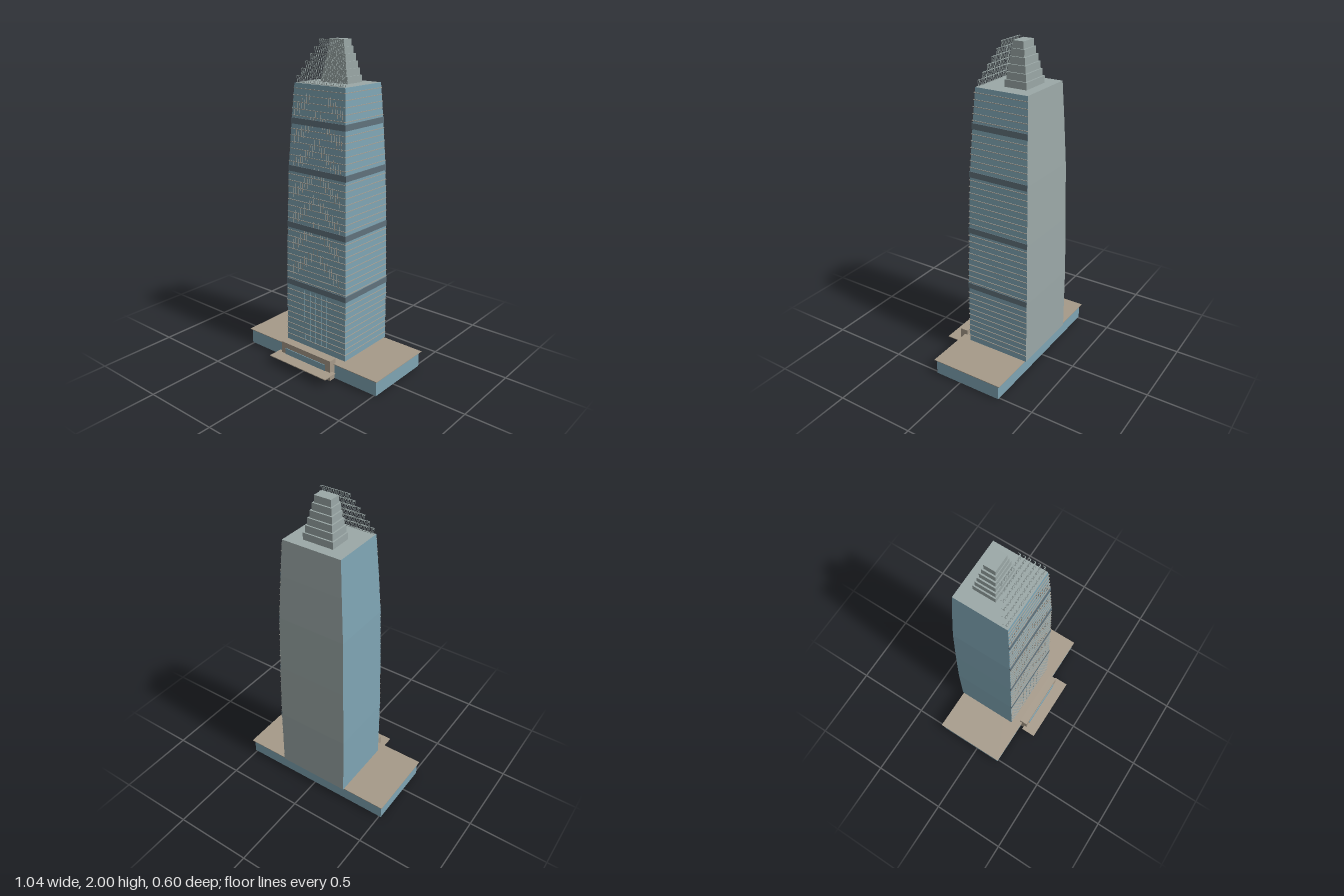
import * as THREE from 'three';

const mat = (name, hex) => {
  const m = new THREE.MeshStandardMaterial({ color: hex });
  m.name = name;
  return m;
};

export function createModel() {
  const glass = mat('blue glass', 0x7ea4b3);
  const stone = mat('tan stone', 0xa69a89);
  const metal = mat('grey metal', 0x9ba8a7);
  const trim = mat('warm grey trim', 0xa19f96);
  const louvre = mat('dark louvre', 0x60727c);

  const model = new THREE.Group();
  model.name = 'skyscraper';
  const group = (name) => {
    const g = new THREE.Group();
    g.name = name;
    model.add(g);
    return g;
  };
  // box from its min and max limits
  const box = (parent, name, m, x0, x1, y0, y1, z0, z1) => {
    const mesh = new THREE.Mesh(new THREE.BoxGeometry(x1 - x0, y1 - y0, z1 - z0), m);
    mesh.position.set((x0 + x1) / 2, (y0 + y1) / 2, (z0 + z1) / 2);
    mesh.name = name;
    parent.add(mesh);
    return mesh;
  };

  // podium and its thin overhanging roof
  const podium = group('podium');
  box(podium, 'podiumWalls', glass, -0.512, 0.512, 0, 0.097, -0.277, 0.175);
  box(podium, 'podiumRoof', stone, -0.522, 0.522, 0.097, 0.101, -0.29, 0.185);

  // entrance portal with glazing and canopy
  const entrance = group('entrance');
  box(entrance, 'portalFrame', stone, -0.2, 0.2, 0, 0.132, 0.168, 0.22);
  box(entrance, 'portalGlass', glass, -0.163, 0.163, 0, 0.096, 0.218, 0.224);
  box(entrance, 'canopy', stone, -0.228, 0.228, 0.051, 0.056, 0.203, 0.3);

  // tapering section: [y, left, right, back, front]
  const rings = [
    [0.1, -0.239, 0.235, -0.298, 0.119],
    [0.51, -0.238, 0.234, -0.297, 0.118],
    [0.89, -0.23, 0.227, -0.29, 0.112],
    [1.25, -0.221, 0.218, -0.281, 0.104],
    [1.53, -0.204, 0.202, -0.269, 0.091],
    [1.752, -0.19, 0.188, -0.257, 0.077],
  ];
  const ringAt = (y) => {
    let i = 0;
    while (i < rings.length - 2 && y > rings[i + 1][0]) i++;
    const t = (y - rings[i][0]) / (rings[i + 1][0] - rings[i][0]);
    return rings[i].map((v, k) => v + (rings[i + 1][k] - v) * t);
  };

  // tower shaft: glass on three sides, metal at the back and on the roof
  const corners = ([y, l, r, b, f]) => [[l, y, f], [r, y, f], [r, y, b], [l, y, b]];
  const pos = [];
  const geo = new THREE.BufferGeometry();
  const quad = (a, b, c, d, m) => {
    geo.addGroup(pos.length / 3, 6, m);
    pos.push(...a, ...b, ...c, ...a, ...c, ...d);
  };
  for (let i = 0; i < rings.length - 1; i++) {
    const lo = corners(rings[i]), hi = corners(rings[i + 1]);
    for (let s = 0; s < 4; s++) {
      const n = (s + 1) % 4;
      quad(lo[s], lo[n], hi[n], hi[s], s === 2 ? 1 : 0);
    }
  }
  quad(...corners(rings[rings.length - 1]), 1);
  quad(...corners(rings[0]).reverse(), 1);
  geo.setAttribute('position', new THREE.Float32BufferAttribute(pos, 3));
  geo.computeVertexNormals();
  const shaft = new THREE.Mesh(geo, [glass, metal]);
  shaft.name = 'towerShaft';
  model.add(shaft);

  // strip wrapping the front and the +x side at one level
  const wrap = (parent, name, m, y, h, out) => {
    const [, l, r, b, f] = ringAt(y);
    box(parent, name + 'Front', m, l, r + out, y - h / 2, y + h / 2, f - 0.004, f + out);
    box(parent, name + 'Side', m, r - 0.004, r + out, y - h / 2, y + h / 2, b, f - 0.004);
  };

  // mechanical floors
  const bandLevels = [0.51, 0.889, 1.245, 1.532];
  const bands = group('louvreBands');
  bandLevels.forEach((y) => wrap(bands, 'band', louvre, y, 0.036, 0.004));

  // floor ledges
  const ledges = group('floorLedges');
  const pitch = 0.0395;
  for (let y = 0.142; y < 1.75; y += pitch) {
    if (bandLevels.every((b) => Math.abs(b - y) > 0.022)) wrap(ledges, 'ledge', trim, y, 0.0036, 0.0045);
  }

  // fin standing on the sloping front face
  const fins = group('facadeFins');
  const addFin = (m, x, y, h) => {
    const f0 = ringAt(y)[4], f1 = ringAt(y + h)[4], f = (f0 + f1) / 2;
    const fin = box(fins, 'fin', m, x - 0.0009, x + 0.0009, y, y + h, f - 0.003, f + 0.0035);
    fin.rotation.x = -Math.atan((f0 - f1) / h);
  };
  // plain mullions on the lower floors
  for (let i = -2; i <= 2; i++) addFin(glass, i * 0.045, 0.14, 0.34);
  // short fins stepping up the front in mirrored sweeping curves
  for (let i = 1; i <= 10; i++) {
    const x = i * 0.018;
    for (let k = 0; k < 7; k++) {
      const y = 0.57 + 0.165 * k + 0.15 * Math.pow(1 - x / 0.19, 1.5) + (i % 2) * 0.02;
      if (y > 1.66 || x > ringAt(y)[2] - 0.01) continue;
      addFin(trim, x, y, 0.06);
      addFin(trim, -x, y, 0.06);
    }
  }

  // stepped crown
  const crown = group('steppedCrown');
  const tier = 0.0413;
  for (let i = 0; i < 6; i++) {
    const hx = 0.097 - i * 0.0088, y = 1.752 + i * tier;
    box(crown, 'crownTier', metal, -hx, hx, y, y + tier, -0.194 + i * 0.0095, -0.055 - i * 0.0045);
  }

  // rising truss screens in front of the crown
  const screens = group('crownScreens');
  const bar = (a, b) => {
    const d = new THREE.Vector3().subVectors(b, a);
    const m = new THREE.Mesh(new THREE.BoxGeometry(0.0018, d.length(), 0.0018), metal);
    m.position.addVectors(a, b).multiplyScalar(0.5);
    m.quaternion.setFromUnitVectors(new THREE.Vector3(0, 1, 0), d.normalize());
    m.name = 'trussBar';
    screens.add(m);
  };
  for (let i = 0; i < 6; i++) {
    const hx = 0.187 - i * 0.0192, z = 0.06 - i * 0.0178;
    const y0 = 1.753 + i * tier, y1 = y0 + tier - 0.003;
    box(screens, 'topRail', metal, -hx, hx, y1 - 0.0012, y1 + 0.0012, z - 0.002, z + 0.002);
    box(screens, 'lowerRail', metal, -hx + 0.012, hx - 0.012, y0, y0 + 0.002, z + 0.003, z + 0.006);
    for (const s of [-1, 1]) box(screens, 'endReturn', metal, s * hx - 0.001, s * hx + 0.001, y1 - 0.0012, y1 + 0.0012, z - 0.014, z);
    const n = 22 - i * 2;
    const w = (2 * hx) / n;
    for (let k = 0; k < n; k++) {
      const foot = new THREE.Vector3(-hx + (k + 0.5) * w, y0, z + 0.004);
      bar(foot, new THREE.Vector3(-hx + k * w, y1, z));
      bar(foot, new THREE.Vector3(-hx + (k + 1) * w, y1, z));
    }
  }
  return model;
}
